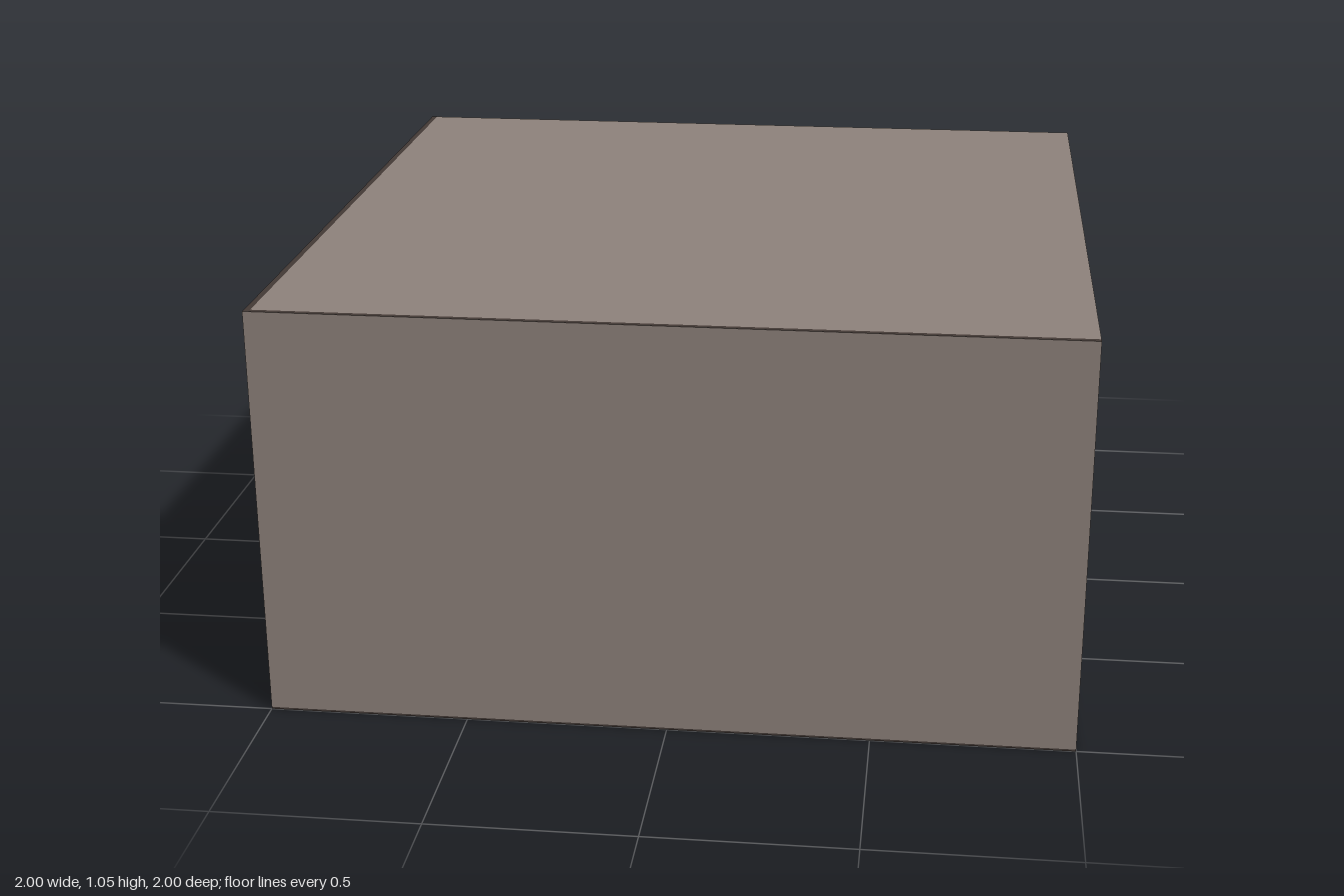
import * as THREE from 'three';

const T = 0.015;      // wall thickness
const H = 1.05;       // total height
const FLOOR = 0.005;  // floor thickness

const wallMat = new THREE.MeshStandardMaterial({ color: 0x8f837c });
const darkMat = new THREE.MeshStandardMaterial({ color: 0x443a36 });
const trimMat = new THREE.MeshStandardMaterial({ color: 0xaaa65c });

function box(name, size, pos, material) {
  const mesh = new THREE.Mesh(new THREE.BoxGeometry(...size), material);
  mesh.name = name;
  mesh.position.set(...pos);
  return mesh;
}

// Closed outline with a doorway notch cut up from the bottom edge
function archShape(halfWidth, top, doorHalf, doorTop, bottom) {
  return new THREE.Shape([
    [-halfWidth, bottom], [-doorHalf, bottom], [-doorHalf, doorTop], [doorHalf, doorTop],
    [doorHalf, bottom], [halfWidth, bottom], [halfWidth, top], [-halfWidth, top],
  ].map(([x, y]) => new THREE.Vector2(x, y)));
}

function extruded(name, shape, material) {
  const geo = new THREE.ExtrudeGeometry(shape, { depth: T, bevelEnabled: false });
  const mesh = new THREE.Mesh(geo, material);
  mesh.name = name;
  return mesh;
}

// Wall with a framed doorway; outer face lies at local z = 1
function doorWall(name) {
  const g = new THREE.Group();
  g.name = name;
  g.add(extruded('wallPanel', archShape(1 - T, H - T, 0.197, 0.65, FLOOR), wallMat));
  g.add(extruded('doorFrame', archShape(0.197, 0.65, 0.153, 0.605, FLOOR), trimMat));
  for (const part of g.children) part.position.z = 1 - T;
  return g;
}

export function createModel() {
  const room = new THREE.Group();
  room.name = 'room';

  // Floor and roof slabs; the roof stops at the two plain walls
  room.add(box('floor', [2, FLOOR, 2], [0, FLOOR / 2, 0], darkMat));
  room.add(box('roof', [2 - T, T, 2 - T], [T / 2, H - T / 2, -T / 2], wallMat));

  // Plain walls with dark top edges
  const faces = [wallMat, wallMat, darkMat, wallMat, wallMat, wallMat];
  const h = H - FLOOR, y = FLOOR + h / 2;
  room.add(box('frontWall', [2, h, T], [0, y, 1 - T / 2], faces));
  room.add(box('rightWall', [T, h, 2 - T], [-1 + T / 2, y, -T / 2], faces));

  // Doorway walls
  const left = doorWall('leftDoorWall');
  left.rotation.y = Math.PI / 2;
  const back = doorWall('backDoorWall');
  back.rotation.y = Math.PI;
  room.add(left, back);

  // Corner post where the doorway walls meet
  room.add(box('cornerPost', [T, H - T - FLOOR, T],
    [1 - T / 2, (H - T + FLOOR) / 2, -1 + T / 2], wallMat));

  return room;
}
